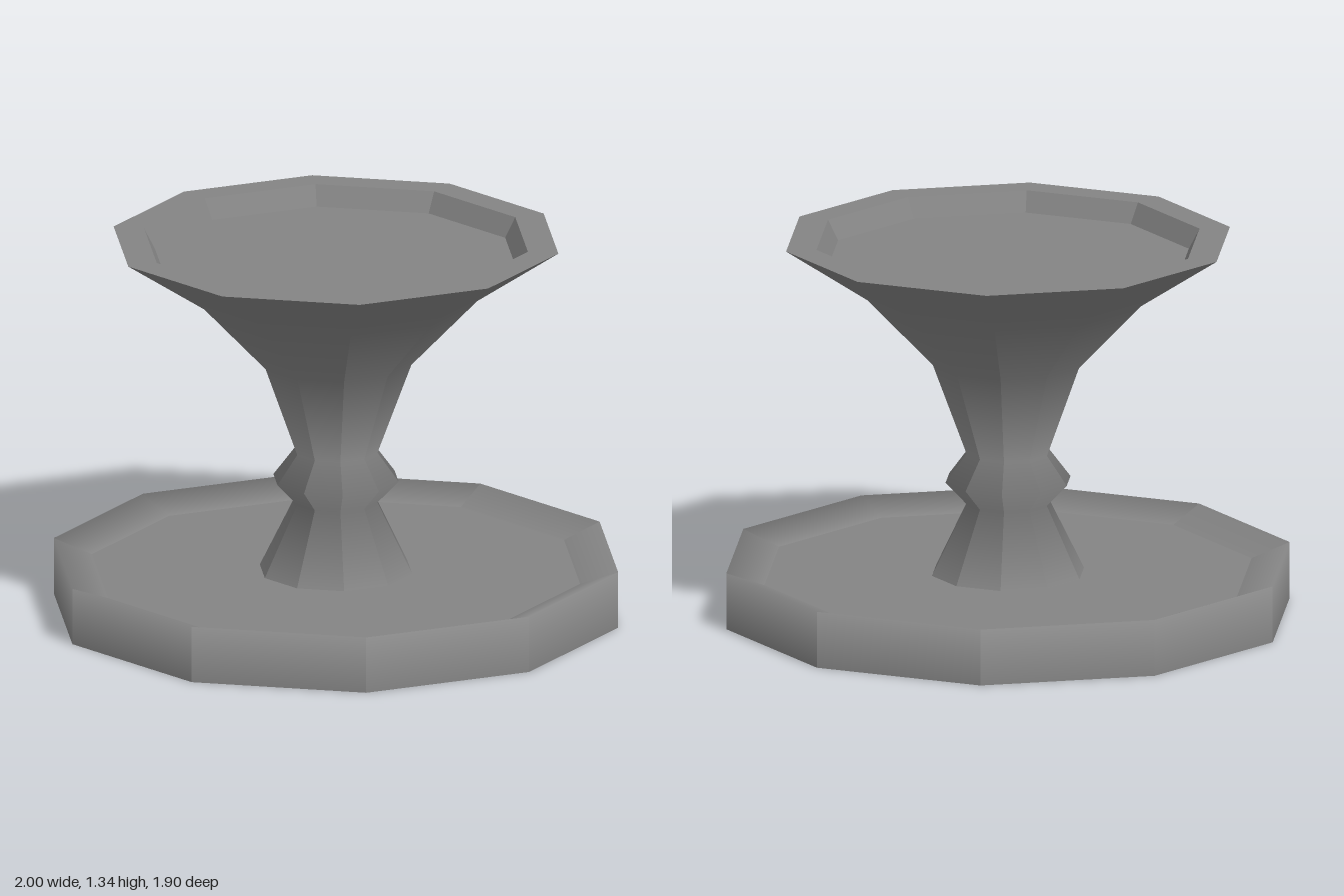
import * as THREE from 'three';
import { mergeGeometries } from 'three/addons/utils/BufferGeometryUtils.js';

const SIDES = 10;
const STEP = (Math.PI * 2) / SIDES;

// Ten-sided turned surface: smooth along the [radius, height] profile, sharp between sides.
// Profiles run so that the outside is on the right of an upward path.
function facetedTurn(profile) {
  // Outward direction of each profile segment, then averaged at each point
  const faces = profile.slice(1).map(([r, y], i) =>
    new THREE.Vector2(y - profile[i][1], (profile[i][0] - r) * Math.cos(STEP / 2)).normalize());
  const bends = profile.map((_, i) => {
    const before = faces[Math.max(i - 1, 0)];
    const after = faces[Math.min(i, faces.length - 1)];
    return before.clone().add(after).normalize();
  });

  const panels = [];
  for (let s = 0; s < SIDES; s++) {
    const a = s * STEP;
    const b = a + STEP;
    const mid = a + STEP / 2;
    const positions = [];
    const normals = [];
    const index = [];
    profile.forEach(([r, y], i) => {
      positions.push(r * Math.cos(a), y, -r * Math.sin(a), r * Math.cos(b), y, -r * Math.sin(b));
      const n = [bends[i].x * Math.cos(mid), bends[i].y, -bends[i].x * Math.sin(mid)];
      normals.push(...n, ...n);
      if (i > 0) {
        const k = (i - 1) * 2;
        index.push(k, k + 1, k + 3, k, k + 3, k + 2);
      }
    });
    const panel = new THREE.BufferGeometry();
    panel.setAttribute('position', new THREE.Float32BufferAttribute(positions, 3));
    panel.setAttribute('normal', new THREE.Float32BufferAttribute(normals, 3));
    panel.setIndex(index);
    panels.push(panel);
  }
  return mergeGeometries(panels);
}

export function createModel() {
  const group = new THREE.Group();
  const material = new THREE.MeshStandardMaterial({ color: 0x848484, side: THREE.DoubleSide });
  const add = (name, geometry) => {
    const mesh = new THREE.Mesh(geometry, material);
    mesh.name = name;
    group.add(mesh);
    return mesh;
  };
  const disc = (name, radius, y, up) => {
    const mesh = add(name, new THREE.CircleGeometry(radius, SIDES));
    mesh.rotation.x = up ? -Math.PI / 2 : Math.PI / 2;
    mesh.position.y = y;
  };

  // Base: upright wall, softly sloped rim and shallow floor
  add('baseRim', facetedTurn([[1, 0], [1, 0.2], [0.865, 0.15]]));
  disc('baseFloor', 0.865, 0.15, true);
  disc('baseUnderside', 1, 0, false);

  // Stem with a knot, flaring out into the cup
  add('stemAndCup', facetedTurn([
    [0.27, 0.15], [0.147, 0.4], [0.222, 0.48], [0.147, 0.58],
    [0.267, 0.905], [0.5, 1.15], [0.788, 1.34],
  ]));

  // Cup: flat lip, short sloped inner wall and recessed floor
  add('cupLip', facetedTurn([[0.788, 1.34], [0.68, 1.34]]));
  add('cupInnerWall', facetedTurn([[0.68, 1.34], [0.642, 1.27]]));
  disc('cupFloor', 0.642, 1.27, true);

  return group;
}
